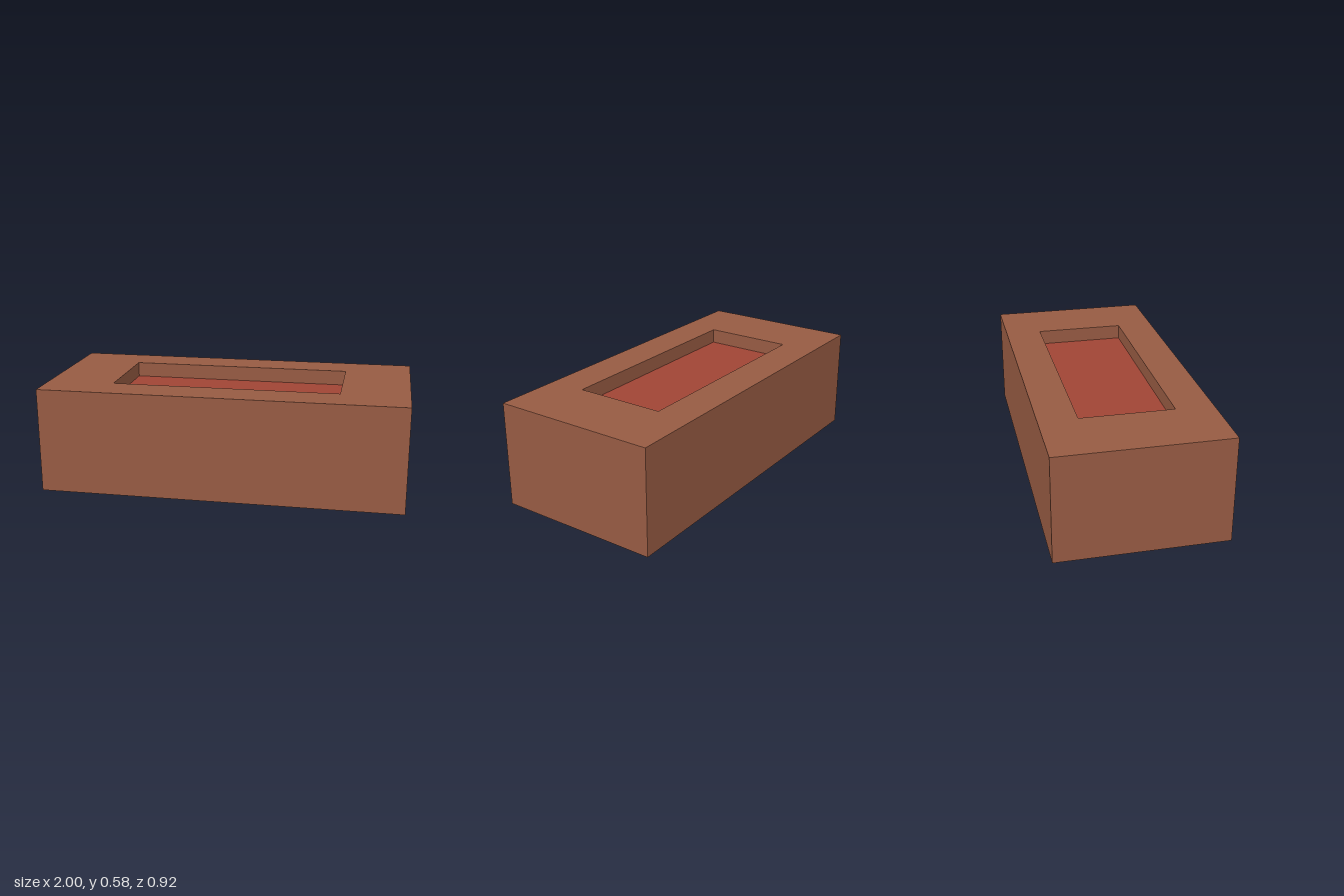
import * as THREE from 'three';

const W = 2, H = 0.583, D = 0.917;           // outer block
const RW = 1.256, RD = 0.505, FLOOR = 0.5;   // recess in the top

// Box with only the listed sides (0 +x, 1 -x, 2 +y, 3 -y, 4 +z, 5 -z), optionally facing inwards
function boxSides(w, h, d, y, sides, inward = false) {
  const g = new THREE.BoxGeometry(w, h, d).translate(0, y, 0);
  const all = Array.from(g.index.array);
  const kept = sides.flatMap((s) => all.slice(s * 6, s * 6 + 6));
  g.setIndex(inward ? kept.reverse() : kept);
  g.clearGroups();
  g.computeVertexNormals();
  return g;
}

function rectangle(target, w, d) {
  return target.moveTo(-w / 2, -d / 2).lineTo(w / 2, -d / 2).lineTo(w / 2, d / 2).lineTo(-w / 2, d / 2).closePath();
}

export function createModel() {
  const model = new THREE.Group();
  model.name = 'recessedBlock';

  const brown = new THREE.MeshStandardMaterial({ color: 0x975b43 });
  brown.name = 'brown';
  const red = new THREE.MeshStandardMaterial({ color: 0xa04535 });
  red.name = 'brick red';

  const add = (name, geometry, material) => {
    const mesh = new THREE.Mesh(geometry, material);
    mesh.name = name;
    model.add(mesh);
  };

  // Outer sides and underside
  add('blockBody', boxSides(W, H, D, H / 2, [0, 1, 3, 4, 5]), brown);

  // Top face with the rectangular opening
  const rim = rectangle(new THREE.Shape(), W, D);
  rim.holes.push(rectangle(new THREE.Path(), RW, RD));
  add('topRim', new THREE.ShapeGeometry(rim).rotateX(-Math.PI / 2).translate(0, H, 0), brown);

  // Recess walls and coloured floor
  const depth = H - FLOOR, middle = (H + FLOOR) / 2;
  add('recessWalls', boxSides(RW, depth, RD, middle, [0, 1, 4, 5], true), brown);
  add('recessFloor', boxSides(RW, depth, RD, middle, [3], true), red);

  return model;
}
